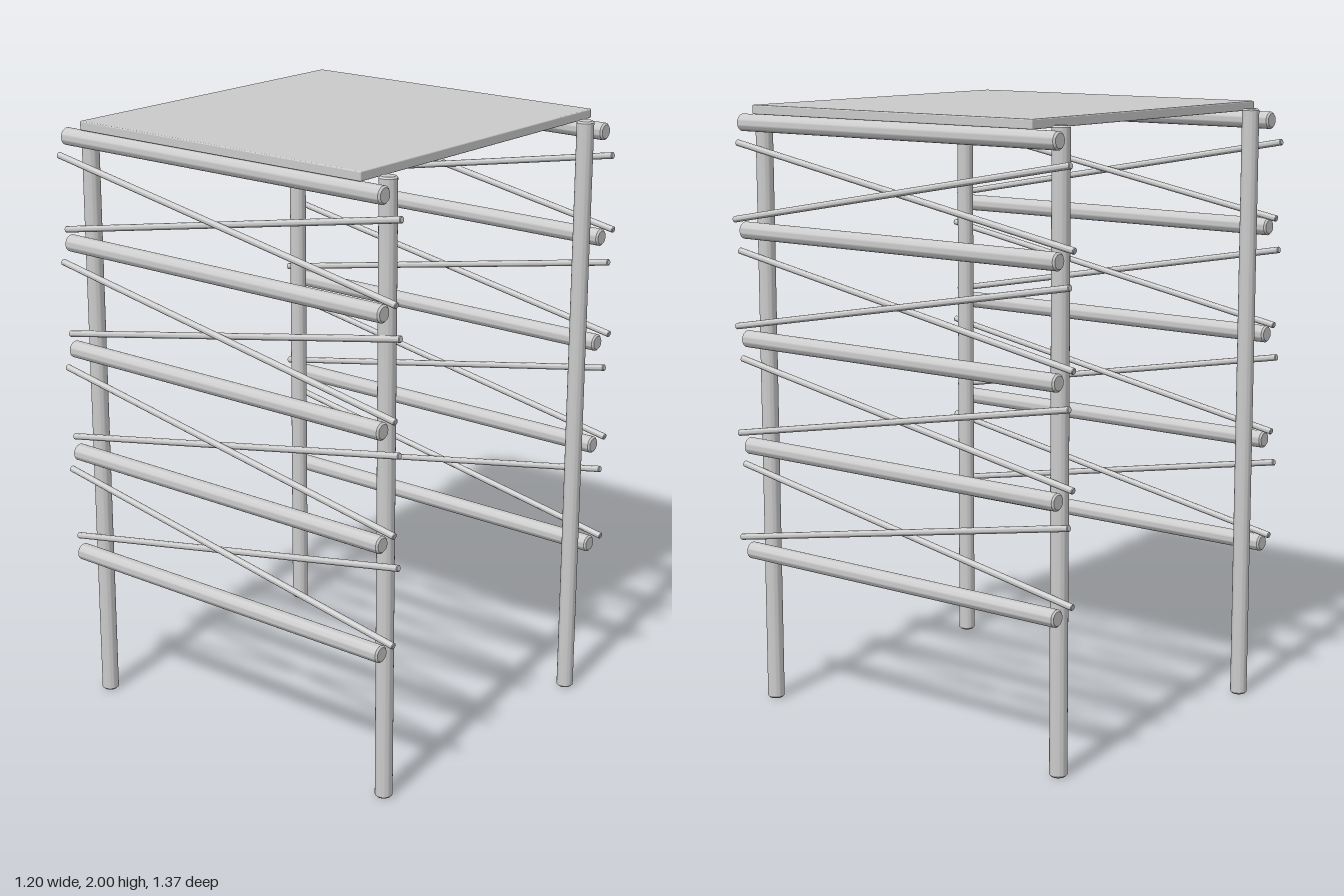
import * as THREE from 'three';
import { toCreasedNormals } from 'three/addons/utils/BufferGeometryUtils.js';
import { RoundedBoxGeometry } from 'three/addons/geometries/RoundedBoxGeometry.js';

const material = new THREE.MeshStandardMaterial({ color: 0xcccccc });
const UP = new THREE.Vector3(0, 1, 0);

// Round pole with slightly chamfered ends, running from a to b
function pole(name, radius, a, b) {
  const start = new THREE.Vector3(...a);
  const end = new THREE.Vector3(...b);
  const h = start.distanceTo(end) / 2;
  const c = radius * 0.2;
  const profile = [[0, -h], [radius - c, -h], [radius, -h + c], [radius, h - c], [radius - c, h], [0, h]]
    .map(([x, y]) => new THREE.Vector2(x, y));
  const geometry = toCreasedNormals(new THREE.LatheGeometry(profile, 28), Math.PI / 6);
  const mesh = new THREE.Mesh(geometry, material);
  mesh.name = name;
  mesh.position.copy(start).add(end).multiplyScalar(0.5);
  mesh.quaternion.setFromUnitVectors(UP, end.sub(start).normalize());
  return mesh;
}

export function createModel() {
  const model = new THREE.Group();
  model.name = 'poleTower';

  // Thin roof slab
  const roof = new THREE.Mesh(new RoundedBoxGeometry(1.184, 0.03, 1.13, 2, 0.004), material);
  roof.name = 'roofPanel';
  roof.position.set(0.005, 1.985, 0);
  model.add(roof);

  const railHeights = [0.52, 0.877, 1.235, 1.592, 1.94];
  const braceHeights = [0.682, 1.038, 1.396, 1.748];

  for (const side of [-1, 1]) {
    const frame = new THREE.Group();
    frame.name = side > 0 ? 'leftFrame' : 'rightFrame';

    // Corner posts
    for (const z of [-0.602, 0.602]) {
      const x = side * 0.507;
      frame.add(pole('post', 0.028, [x, 0, z], [x, 1.98, z]));
    }

    // Horizontal rails outside the posts
    const railX = side > 0 ? 0.566 : -0.573;
    for (const y of railHeights) {
      frame.add(pole('rail', 0.028, [railX, y, -0.643], [railX, y, 0.643]));
    }

    // Crossed braces between the rails
    for (const y of braceHeights) {
      const inner = side * 0.548;
      const outer = side * 0.569;
      frame.add(pole('innerBrace', 0.0105, [inner, y - 0.124, -0.685], [inner, y + 0.124, 0.685]));
      frame.add(pole('outerBrace', 0.0105, [outer, y + 0.124, -0.685], [outer, y - 0.124, 0.685]));
    }
    model.add(frame);
  }
  return model;
}
